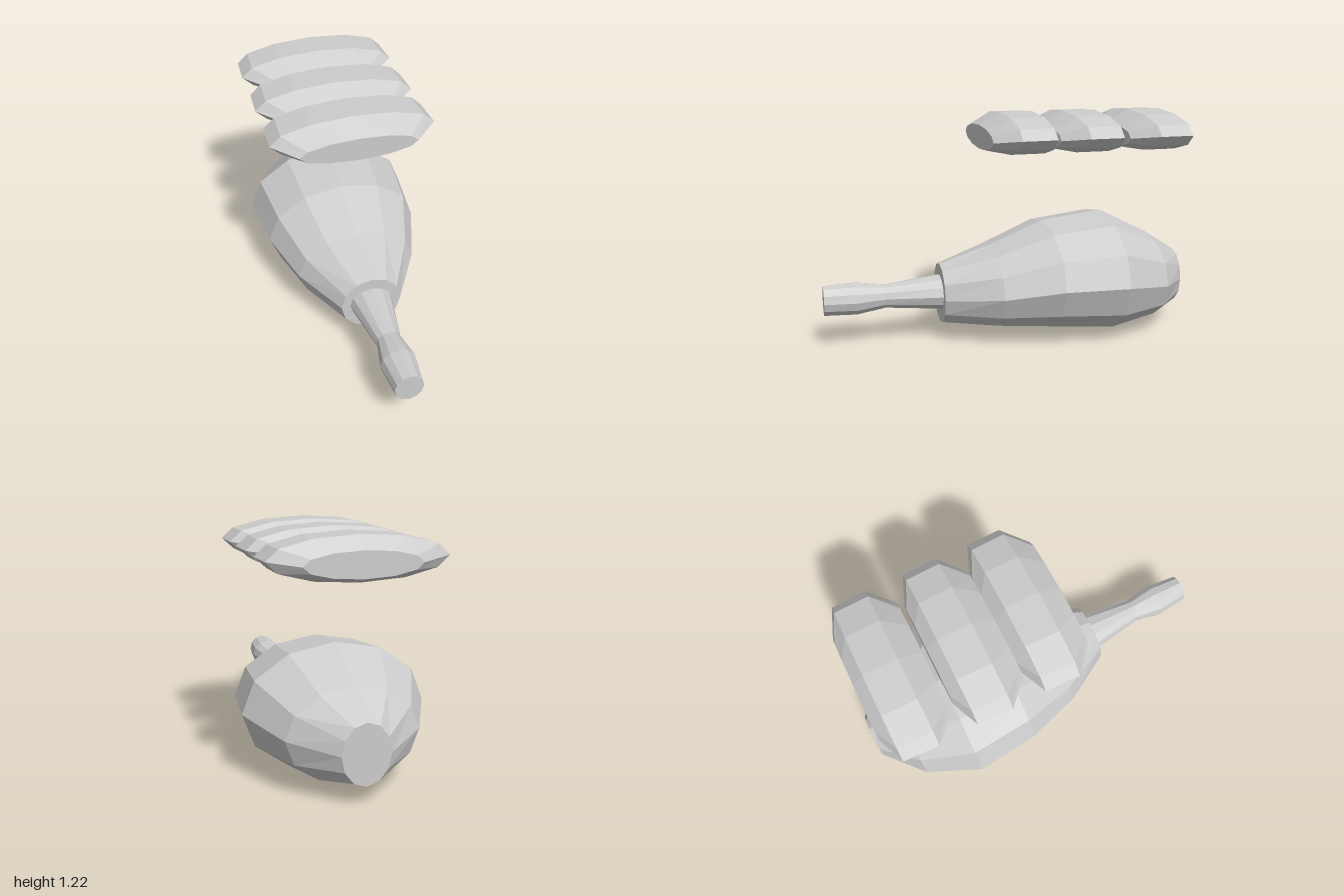
import * as THREE from 'three';

const SIDES = 12;

// Faceted, capped solid lofted through elliptical rings listed front to back:
// [z, bottom y, top y, half width]
function loft(rings) {
  const pos = [], index = [];
  rings.forEach(([z, y0, y1, rx]) => {
    for (let j = 0; j < SIDES; j++) {
      const a = (j / SIDES) * Math.PI * 2;
      pos.push(Math.cos(a) * rx, (y0 + y1) / 2 + Math.sin(a) * (y1 - y0) / 2, z);
    }
  });
  // side walls
  for (let i = 0; i < rings.length - 1; i++) {
    for (let j = 0; j < SIDES; j++) {
      const k = (j + 1) % SIDES;
      const a = i * SIDES + j, a1 = i * SIDES + k;
      const b = a + SIDES, b1 = a1 + SIDES;
      index.push(a, b, b1, a, b1, a1);
    }
  }
  // flat end caps
  const last = (rings.length - 1) * SIDES;
  for (let j = 1; j < SIDES - 1; j++) {
    index.push(0, j, j + 1, last, last + j + 1, last + j);
  }
  const indexed = new THREE.BufferGeometry();
  indexed.setAttribute('position', new THREE.Float32BufferAttribute(pos, 3));
  indexed.setIndex(index);
  const geometry = indexed.toNonIndexed();
  geometry.computeVertexNormals();
  return geometry;
}

export function createModel() {
  const group = new THREE.Group();
  group.name = 'drumstickWithSlices';
  const grey = new THREE.MeshStandardMaterial({ color: 0xcccccc });
  grey.name = 'light grey';

  const add = (name, rings) => {
    const mesh = new THREE.Mesh(loft(rings), grey);
    mesh.name = name;
    group.add(mesh);
    return mesh;
  };

  // plump meat of the drumstick
  add('meat', [
    [0.38, 0.087, 0.413, 0.165],
    [0.10, 0.06, 0.50, 0.33],
    [-0.20, 0.035, 0.62, 0.43],
    [-0.54, 0.003, 0.66, 0.467],
    [-0.82, 0.045, 0.52, 0.33],
    [-1.0, 0.10, 0.403, 0.12],
  ]);

  // bone handle with a knobbed end
  add('bone', [
    [1.0, 0.175, 0.337, 0.075],
    [0.83, 0.17, 0.342, 0.094],
    [0.68, 0.193, 0.32, 0.066],
    [0.37, 0.163, 0.351, 0.118],
  ]);

  // three identical bevelled slices floating in a row above
  [0, -0.355, -0.735].forEach((z, i) => {
    add('slice' + (i + 1), [
      [0.155, 1.03, 1.156, 0.31],
      [0.04, 1.006, 1.22, 0.435],
      [-0.14, 1.006, 1.22, 0.428],
      [-0.20, 1.03, 1.156, 0.28],
    ]).position.z = z;
  });

  return group;
}
